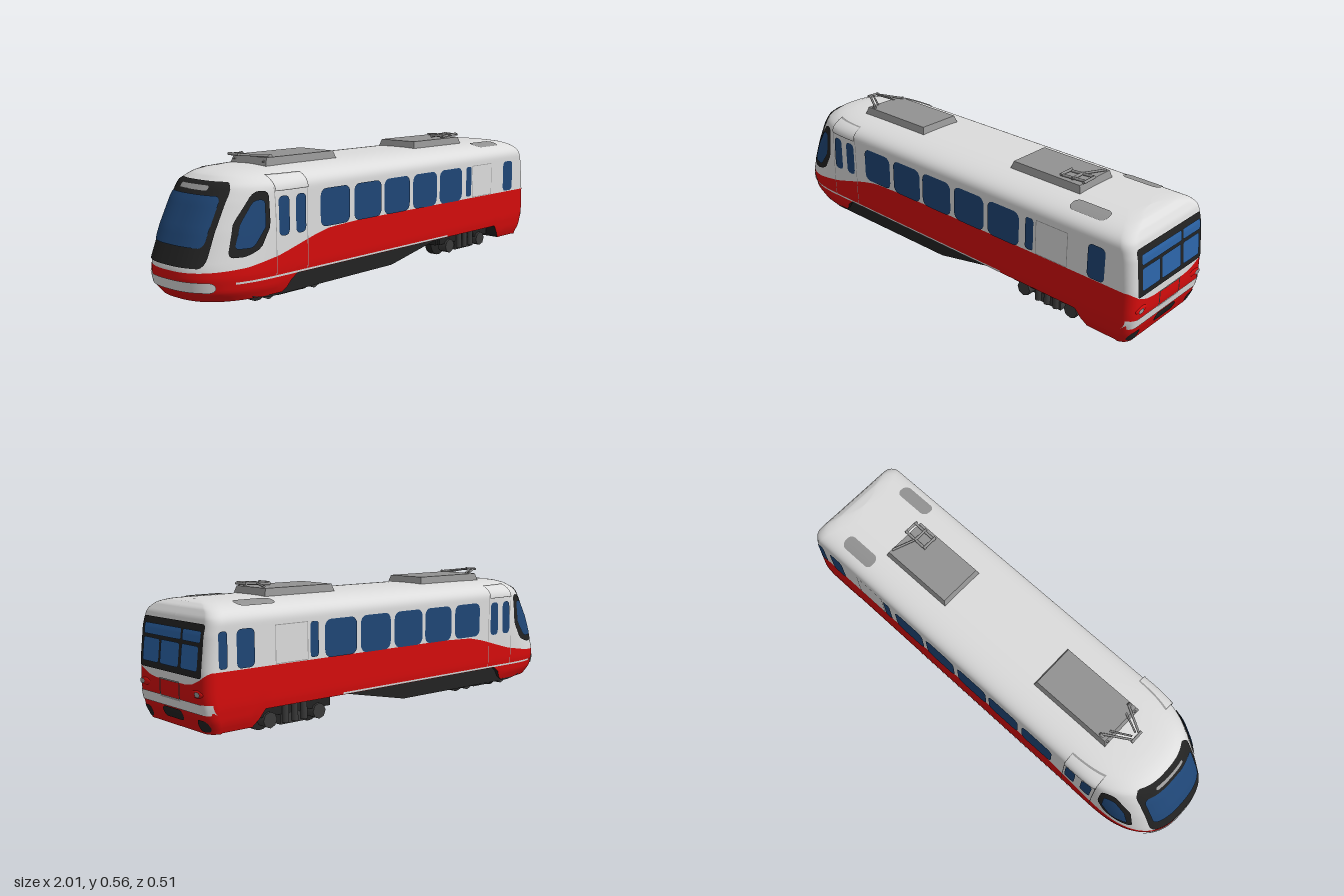
import * as THREE from 'three';

const mat = (name, color) => new THREE.MeshStandardMaterial({ name, color, side: THREE.DoubleSide });

// Piecewise-linear lookup through [position, value] pairs
function lookup(k, v) {
  if (v <= k[0][0]) return k[0][1];
  for (let i = 1; i < k.length; i++) {
    if (v <= k[i][0]) {
      const f = (v - k[i - 1][0]) / (k[i][0] - k[i - 1][0]);
      return k[i - 1][1] + f * (k[i][1] - k[i - 1][1]);
    }
  }
  return k[k.length - 1][1];
}

// Shell rules: half width, nose tip and tail by height
const TOP = 0.512, NOSE = 0.32, CORNER = 0.045, POW = 2.6;
const NOSE_X = [[0.045, -0.96], [0.08, -0.99], [0.13, -1], [0.17, -0.997], [0.2, -0.985], [0.3, -0.945],
  [0.4, -0.895], [0.46, -0.858], [0.49, -0.815], [0.5, -0.78], [0.507, -0.73], [0.512, -0.62]];
const TAIL_X = [[0.045, 0.965], [0.1, 0.985], [0.17, 0.995], [0.27, 0.994], [0.4, 0.98], [0.46, 0.965],
  [0.49, 0.945], [0.505, 0.92], [0.512, 0.88]];
const halfWidth = y => y < 0.43 ? lookup([[0.045, 0.225], [0.08, 0.238], [0.14, 0.245]], y)
  : 0.245 * Math.cbrt(Math.max(0, 1 - ((y - 0.43) / (TOP - 0.43)) ** 2.5));
const roofY = z => 0.43 + (TOP - 0.43) * (1 - (Math.abs(z) / 0.245) ** 3) ** 0.4;

// Point on the shell: |t| 0 nose tip, 0.4 to 0.8 side wall, 1 middle of the tail; sign of t is the side
function shell(t, y, off = 0) {
  const a = Math.abs(t), s = Math.sign(t), w = halfWidth(y) + off;
  const xf = lookup(NOSE_X, y) - off, xr = lookup(TAIL_X, y) + off, r = Math.min(CORNER, w);
  let x, z;
  if (a < 0.4) {
    const q = a / 0.4 * Math.PI / 2;
    x = xf + NOSE * (1 - Math.cos(q) ** (2 / POW));
    z = w * Math.sin(q) ** (2 / POW);
  } else if (a < 0.8) {
    x = THREE.MathUtils.lerp(xf + NOSE, xr - r, (a - 0.4) / 0.4);
    z = w;
  } else if (a < 0.9) {
    const q = (a - 0.8) / 0.1 * Math.PI / 2;
    x = xr - r + r * Math.sin(q);
    z = w - r + r * Math.cos(q);
  } else {
    x = xr;
    z = (w - r) * (1 - a) / 0.1;
  }
  return [x, y, s * z];
}

// Maps for thin details on the side wall, tail and roof
const wall = (s, off) => (x, y) => {
  const w = halfWidth(y) + off, d = lookup(NOSE_X, y) - off + NOSE - x;
  const c = x - (lookup(TAIL_X, y) + off - CORNER);
  if (c > 0) return [x, y, s * (w - CORNER + Math.sqrt(Math.max(0, CORNER ** 2 - c * c)))];
  return [x, y, s * w * (d > 0 ? Math.max(0, 1 - (d / NOSE) ** POW) ** (1 / POW) : 1)];
};
const tail = off => (z, y) => {
  const d = Math.max(0, Math.abs(z) - (halfWidth(y) - CORNER));
  return [lookup(TAIL_X, y) + off - CORNER + Math.sqrt(Math.max(0, CORNER ** 2 - d * d)), y, -z];
};
const nose = off => (t, y) => shell(t, y, off);
const roof = (x, z) => [x, roofY(z) + 0.004, z];

// Paint line between red and white, and lower edge of the skirt
const paintLine = t => {
  const [x, , z] = shell(t, 0.2);
  return Math.abs(t) > 0.8
    ? lookup([[0.1, 0.215], [0.15, 0.222], [0.2, 0.242], [0.24, 0.27]], Math.abs(z))
    : lookup([[-1, 0.155], [-0.8, 0.17], [-0.66, 0.195], [-0.5, 0.245], [-0.42, 0.263], [-0.25, 0.27]], x);
};
const skirt = t => Math.abs(t) > 0.8 ? 0.042
  : lookup([[-0.66, 0.045], [-0.58, 0.11], [0.75, 0.11], [0.79, 0.045]], shell(t, 0.1)[0]);

function gridGeometry(fn, nu, nv) {
  const pos = [], idx = [];
  for (let j = 0; j <= nv; j++) for (let i = 0; i <= nu; i++) pos.push(...fn(i / nu, j / nv));
  for (let j = 0; j < nv; j++) for (let i = 0; i < nu; i++) {
    const a = j * (nu + 1) + i, b = a + nu + 1;
    idx.push(a, a + 1, b + 1, a, b + 1, b);
  }
  const g = new THREE.BufferGeometry();
  g.setAttribute('position', new THREE.Float32BufferAttribute(pos, 3));
  g.setIndex(idx);
  g.computeVertexNormals();
  return g;
}

export function createModel() {
  const model = new THREE.Group();
  const white = mat('white paint', 0xdcdcdc), red = mat('red paint', 0xd40c0c), black = mat('black trim', 0x222222);
  const glass = mat('side glass', 0x1f4676), tailGlass = mat('tail glass', 0x2b63a6);
  const grey = mat('roof grey', 0x929292), metal = mat('dark metal', 0x3a3a3a), line = mat('seam grey', 0x9c9c9c);

  const add = (name, g, m, parent = model) => {
    const o = new THREE.Mesh(g, m);
    o.name = name;
    parent.add(o);
    return o;
  };
  const box = (name, m, size, at, parent) => add(name, new THREE.BoxGeometry(...size), m, parent).position.set(...at);
  // Rounded panel laid on a surface; left and right limits may be functions of height
  const panel = (name, m, map, a0, a1, b0, b1, r = 0, nu = 10, ra = r) => {
    add(name, gridGeometry((u, v) => {
      const b = b0 + (b1 - b0) * (0.5 - 0.5 * Math.cos(v * Math.PI));
      const k = r ? Math.max(0, 1 - Math.min(b - b0, b1 - b) / r) : 0;
      const inset = ra * (1 - Math.sqrt(Math.max(0, 1 - k * k)));
      const l = (typeof a0 === 'function' ? a0(b) : a0) + inset;
      const h = (typeof a1 === 'function' ? a1(b) : a1) - inset;
      return map(l + (h - l) * u, b);
    }, nu, r ? 16 : 8), m);
  };
  const frame = (name, m, map, a0, a1, b0, b1, t = 0.004) => {
    panel(name, m, map, a0, a0 + t, b0, b1, 0, 1);
    panel(name, m, map, a1 - t, a1, b0, b1, 0, 1);
    panel(name, m, map, a0, a1, b0, b0 + t);
    panel(name, m, map, a0, a1, b1 - t, b1);
  };
  const rod = (name, m, p, q, r, parent = model) => {
    const a = new THREE.Vector3(...p), d = new THREE.Vector3(...q).sub(a);
    const o = add(name, new THREE.CylinderGeometry(r, r, d.length(), 8), m, parent);
    o.position.copy(a).addScaledVector(d, 0.5);
    o.quaternion.setFromUnitVectors(new THREE.Vector3(0, 1, 0), d.normalize());
  };

  // Body shell, split along the paint line
  add('lowerBody', gridGeometry((u, v) => {
    const t = u * 2 - 1, y0 = skirt(t);
    return shell(t, y0 + (paintLine(t) - y0) * v);
  }, 240, 12), red);
  add('upperBody', gridGeometry((u, v) => {
    const t = u * 2 - 1, y0 = paintLine(t);
    return shell(t, y0 + (TOP - y0) * Math.sin(v * Math.PI / 2));
  }, 240, 36), white);
  add('floor', gridGeometry((u, v) => {
    const [x, y, z] = shell(u, skirt(u));
    return [x, y, z * (1 - 2 * v)];
  }, 120, 2), black);

  // Underfloor fairing
  const keel = new THREE.Shape([[-0.78, 0.05], [-0.7, 0.036], [0, 0.04], [0.36, 0.113], [-0.78, 0.113]]
    .map(p => new THREE.Vector2(...p)));
  const keelGeo = new THREE.ExtrudeGeometry(keel, { depth: 0.44, bevelEnabled: false });
  add('underfloor', keelGeo.translate(0, 0, -0.22), black);

  // Windshield with frame and sign
  panel('windshieldFrame', black, nose(0.004), -0.155, 0.155, 0.175, 0.472, 0.04, 32, 0.03);
  panel('windshield', glass, nose(0.008), -0.13, 0.13, 0.245, 0.425, 0.03, 32, 0.025);
  panel('destinationSign', line, nose(0.008), -0.06, 0.06, 0.44, 0.46, 0.008, 20);
  panel('noseBand', white, nose(0.004), -0.2, 0.2, 0.085, 0.125, 0.02, 32, 0.03);

  // Side windows, doors and seams
  for (const s of [1, -1]) {
    const trim = wall(s, 0.002), pane = wall(s, 0.004);
    panel('cabWindowFrame', black, pane, y => lookup([[0.21, -0.885], [0.33, -0.85], [0.44, -0.765]], y),
      y => lookup([[0.21, -0.81], [0.235, -0.755], [0.31, -0.712], [0.44, -0.71]], y), 0.21, 0.44, 0.02);
    panel('cabWindow', glass, wall(s, 0.008), y => lookup([[0.24, -0.862], [0.33, -0.83], [0.41, -0.772]], y),
      y => lookup([[0.24, -0.79], [0.31, -0.735], [0.41, -0.73]], y), 0.24, 0.41, 0.015);
    for (const x of [-0.373, -0.183, 0, 0.188, 0.375])
      panel('saloonWindow', glass, pane, x - 0.083, x + 0.083, 0.27, 0.42, 0.03);
    for (const x of [-0.645, -0.56]) panel('doorWindow', glass, pane, x - 0.026, x + 0.026, 0.265, 0.415, 0.02);
    panel('halfWindow', glass, pane, 0.49, 0.53, 0.28, 0.418, 0.012);
    panel('rearWindow', glass, pane, 0.79, 0.868, 0.275, 0.418, 0.02);
    if (s < 0) panel('rearCornerWindow', glass, pane, 0.908, 0.945, 0.28, 0.415, 0.012);
    frame('rearDoorSeam', line, trim, 0.54, 0.695, 0.272, 0.42, 0.003);
    for (const x of [-0.685, -0.525]) panel('doorSeam', line, trim, x, x + 0.003, 0.12, 0.45, 0, 1);
    panel('sillStripe', white, trim, -0.86, 0.36, 0.112, 0.12, 0, 40);
    panel('doorHood', white, wall(s, 0.008), -0.685, -0.525, 0.435, 0.492, 0.012);
    frame('doorHoodSeam', line, wall(s, 0.009), -0.685, -0.525, 0.435, 0.492, 0.003);
    panel('roofVent', grey, roof, 0.65, 0.82, s * 0.17 - 0.031, s * 0.17 + 0.031, 0.025);
  }

  // Tail window, lamps and bumper details
  panel('tailWindowFrame', black, tail(0.003), -0.212, 0.212, 0.248, 0.44, 0.012, 24);
  panel('upperTailPane', tailGlass, tail(0.006), -0.19, 0.07, 0.374, 0.416, 0.008);
  panel('upperTailPane', tailGlass, tail(0.006), 0.08, 0.2, 0.374, 0.416, 0.008);
  for (const [a, b] of [[-0.19, -0.075], [-0.064, 0.064], [0.08, 0.19]])
    panel('lowerTailPane', tailGlass, tail(0.006), a, b, 0.272, 0.362, 0.01);
  panel('tailStripe', white, tail(0.003), -0.242, 0.242, 0.116, 0.155, 0, 40);
  frame('plateFrame', line, tail(0.004), -0.07, 0.07, 0.147, 0.22, 0.006);
  panel('bumperGrille', black, tail(0.003), -0.07, 0.07, 0.072, 0.113, 0.02);
  for (const s of [1, -1]) {
    panel('bumperVent', black, tail(0.003), s * 0.19 - 0.03, s * 0.19 + 0.03, 0.05, 0.096, 0.02);
    const lamp = add('tailLamp', new THREE.SphereGeometry(1, 20, 12), red);
    lamp.scale.set(0.008, 0.015, 0.036);
    lamp.position.set(0.992, 0.19, s * 0.18);
    panel('lampLens', line, tail(0.008), s * 0.192 - 0.016, s * 0.192 + 0.016, 0.181, 0.2, 0.009);
  }

  // Roof pods with sloped sides
  for (const [x0, x1] of [[-0.61, -0.215], [0.28, 0.64]]) {
    const g = new THREE.BoxGeometry(x1 - x0, 0.045, 0.216), p = g.attributes.position;
    for (let i = 0; i < p.count; i++) if (p.getY(i) > 0) p.setXYZ(i, p.getX(i) * 0.92, p.getY(i), p.getZ(i) * 0.89);
    g.computeVertexNormals();
    add('roofPod', g, grey).position.set((x0 + x1) / 2, 0.517, 0);
  }

  // Current collectors
  for (const s of [1, -1]) {
    rod('collectorArm', grey, [-0.56, 0.543, s * 0.085], [-0.67, 0.552, s * 0.02], 0.005);
    rod('collectorStrut', grey, [-0.58, 0.54, s * 0.05], [-0.66, 0.556, s * 0.01], 0.004);
    rod('collectorBase', grey, [-0.6, 0.52, s * 0.085], [-0.56, 0.545, s * 0.085], 0.007);
  }
  rod('collectorHead', grey, [-0.675, 0.553, -0.03], [-0.675, 0.553, 0.03], 0.006);
  for (const z of [0.02, 0.075]) rod('rearCollectorArm', grey, [0.52, 0.545, z], [0.635, 0.553, z], 0.006);
  for (const x of [0.525, 0.58, 0.635]) rod('rearCollectorBar', grey, [x, 0.55, 0.015], [x, 0.55, 0.085], 0.006);
  rod('rearCollectorLink', grey, [0.58, 0.55, 0.02], [0.62, 0.545, -0.08], 0.005);

  // Bogies
  for (const cx of [-0.56, 0.565]) {
    const bogie = new THREE.Group();
    bogie.name = 'bogie';
    bogie.position.x = cx;
    model.add(bogie);
    box('bolster', black, [0.12, 0.06, 0.34], [0, 0.085, 0], bogie);
    for (const x of [-0.12, 0.12]) {
      rod('axle', metal, [x, 0.055, -0.17], [x, 0.055, 0.17], 0.012, bogie);
      for (const s of [1, -1]) {
        const wheel = add('wheel', new THREE.CylinderGeometry(0.055, 0.055, 0.035, 24), black, bogie);
        wheel.rotation.x = Math.PI / 2;
        wheel.position.set(x, 0.055, s * 0.11);
        rod('axleBox', metal, [x, 0.05, s * 0.15], [x, 0.05, s * 0.195], 0.032, bogie);
      }
    }
    for (const s of [1, -1]) {
      box('sideFrame', black, [0.37, 0.045, 0.025], [0, 0.085, s * 0.172], bogie);
      box('springPlank', metal, [0.13, 0.04, 0.03], [0, 0.042, s * 0.17], bogie);
      for (const x of [-0.045, 0, 0.045]) rod('spring', metal, [x, 0.03, s * 0.19], [x, 0.1, s * 0.19], 0.014, bogie);
      box('endBeam', black, [0.025, 0.03, 0.34], [s * 0.185, 0.075, 0], bogie);
    }
  }
  return model;
}
